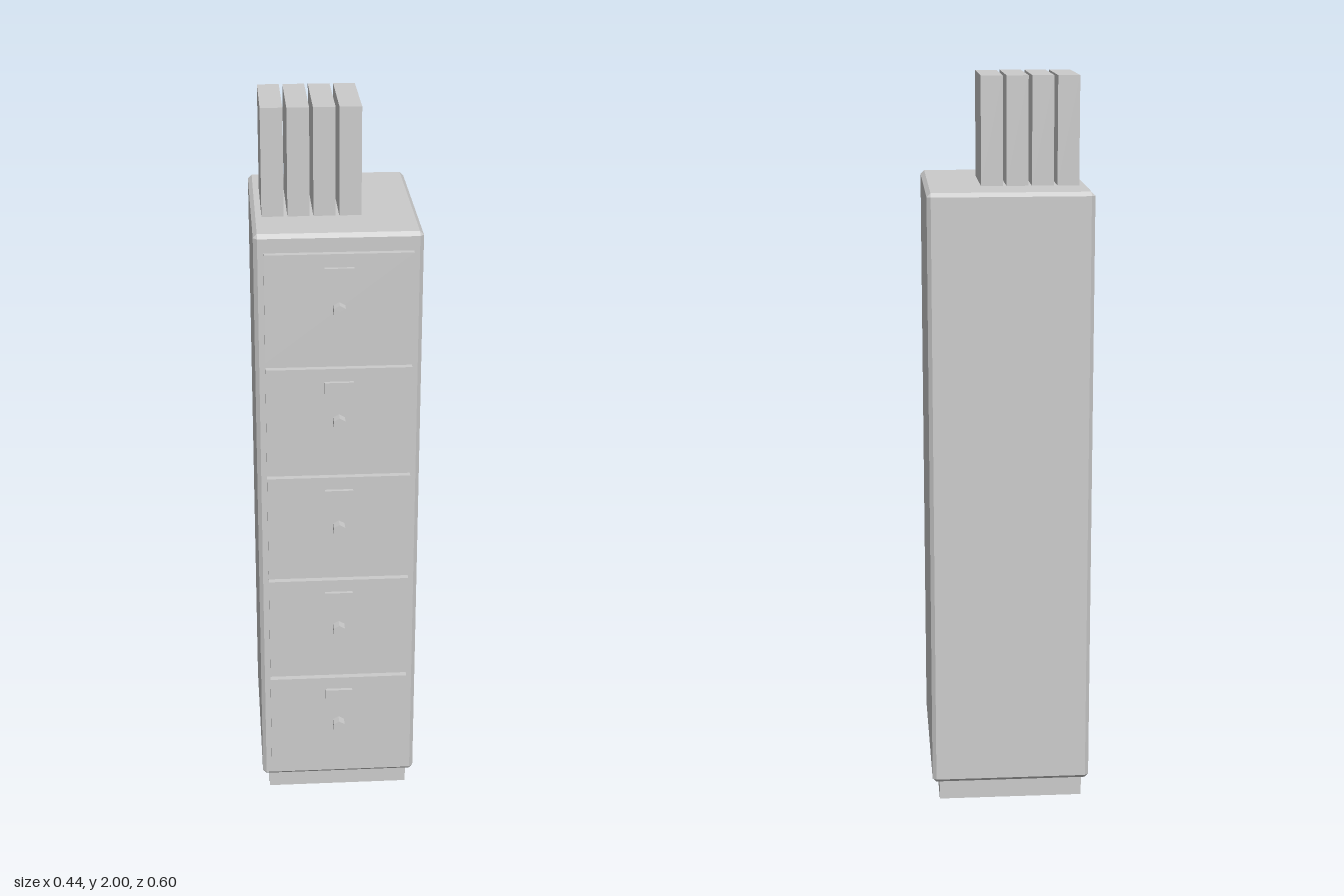
import * as THREE from 'three';
import { ConvexGeometry } from 'three/addons/geometries/ConvexGeometry.js';

const material = new THREE.MeshStandardMaterial({ color: 0xcccccc, flatShading: true });
const openMaterial = new THREE.MeshStandardMaterial({ color: 0xcccccc, flatShading: true, side: THREE.DoubleSide });

function add(parent, name, geometry, x, y, z, mat = material) {
  const mesh = new THREE.Mesh(geometry, mat);
  mesh.name = name;
  mesh.position.set(x, y, z);
  parent.add(mesh);
  return mesh;
}

// Box with every edge chamfered by c
function chamferedBox(w, h, d, c) {
  const points = [];
  for (const sx of [-1, 1]) for (const sy of [-1, 1]) for (const sz of [-1, 1]) {
    for (let axis = 0; axis < 3; axis++) {
      const inset = [c, c, c];
      inset[axis] = 0;
      points.push(new THREE.Vector3(
        sx * (w / 2 - inset[0]), sy * (h / 2 - inset[1]), sz * (d / 2 - inset[2])));
    }
  }
  return new ConvexGeometry(points);
}

// Four walls with no top or bottom
function openWalls(w, h, d) {
  const geometry = new THREE.BoxGeometry(w, h, d);
  const index = Array.from(geometry.index.array);
  geometry.setIndex([...index.slice(0, 12), ...index.slice(24)]);
  geometry.clearGroups();
  return geometry;
}

export function createModel() {
  const model = new THREE.Group();
  model.name = 'filingCabinet';

  // Cabinet body and its hollow plinth
  const bottom = 0.055, top = 1.71, front = 0.255, back = -0.3;
  add(model, 'cabinetBody', chamferedBox(0.44, top - bottom, front - back, 0.0105),
    0, (top + bottom) / 2, (front + back) / 2);
  add(model, 'plinth', openWalls(0.4, bottom, 0.515), 0, bottom / 2, -0.0275, openMaterial);

  // Five drawers, each with a label holder and a knob
  const drawerHeight = 0.297, panelDepth = 0.017, face = front + panelDepth;
  const panel = new THREE.BoxGeometry(0.388, drawerHeight, panelDepth);
  const label = new THREE.BoxGeometry(0.077, 0.031, 0.01);
  const knob = new THREE.CylinderGeometry(0.018, 0.018, 0.028, 6).rotateX(Math.PI / 2);
  for (let i = 0; i < 5; i++) {
    const drawer = new THREE.Group();
    drawer.name = `drawer${i + 1}`;
    drawer.position.y = 0.243 + i * 0.3175;
    add(drawer, 'drawerFront', panel, 0, 0, front + panelDepth / 2);
    add(drawer, 'labelHolder', label, 0, 0.097, face + 0.005);
    add(drawer, 'knob', knob, 0, 0, face + 0.014);
    model.add(drawer);
  }

  // Row of binders standing on top
  const binder = new THREE.BoxGeometry(0.0585, 2 - top, 0.252);
  for (let i = 0; i < 4; i++) {
    add(model, `binder${i + 1}`, binder, -0.164 + i * 0.0683, (2 + top) / 2, -0.024);
  }
  return model;
}
